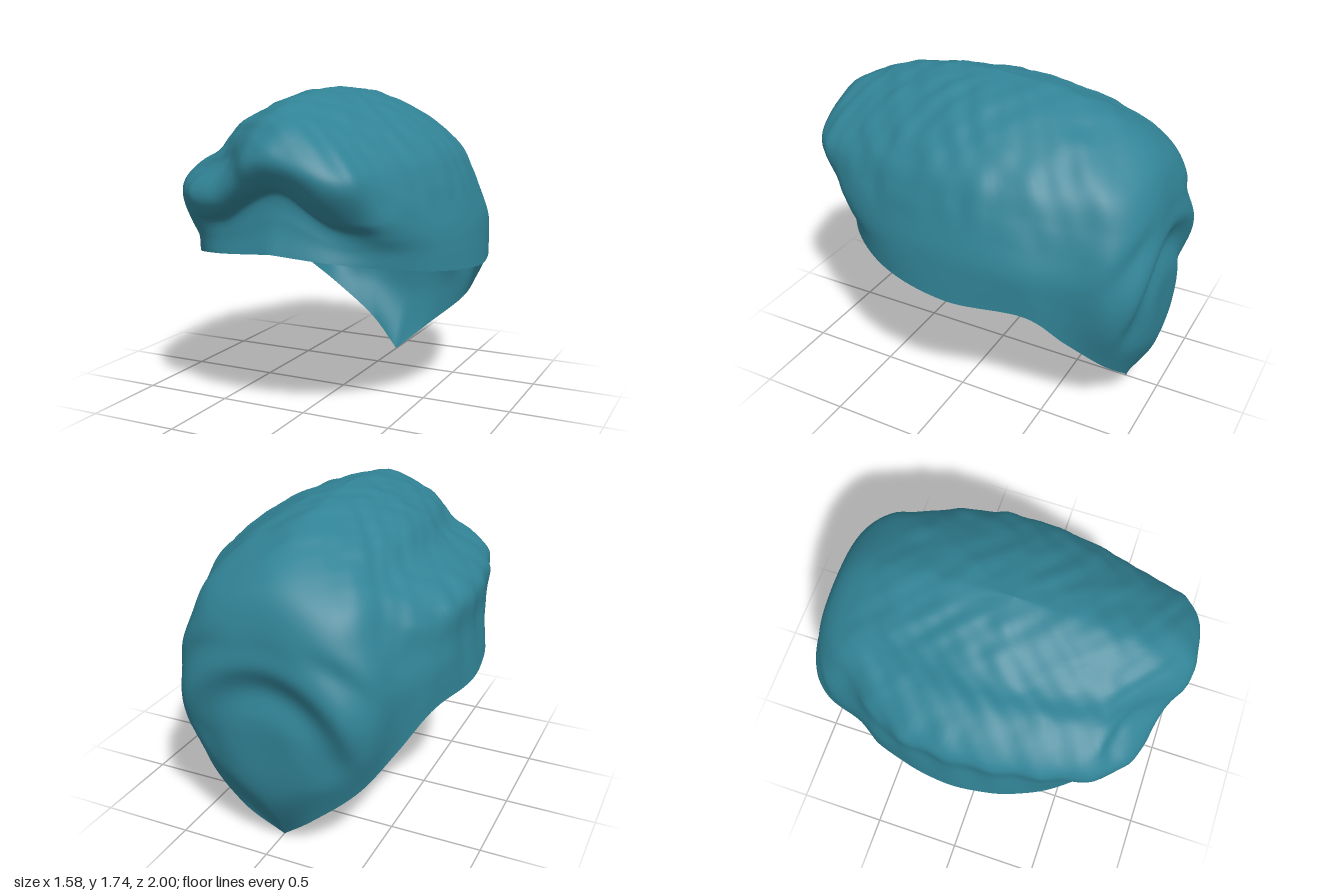
import * as THREE from 'three';

// Strand lines from rim to shoulder, front centre to back centre, one half only.
const STRANDS = [
  [[0, .93, .83], [0, 1.08, .78], [0, 1.23, .77], [0, 1.27, .9], [0, 1.4, .99]],
  [[.3, .9, .77], [.31, .98, .74], [.31, 1.07, .74], [.34, 1.11, .83], [.35, 1.27, .92]],
  [[.52, .87, .64], [.53, .98, .65], [.55, 1.08, .7], [.53, 1.22, .71]],
  [[.72, .82, .33], [.7, 1.02, .34], [.63, 1.25, .34]],
  [[.79, .78, -.08], [.75, 1.03, -.07], [.665, 1.28, -.05]],
  [[.7, .755, -.5], [.71, 1, -.46], [.62, 1.25, -.43]],
  [[.585, .58, -.66], [.6, .95, -.69], [.53, 1.22, -.68]],
  [[.45, .4, -.82], [.53, .75, -.88], [.53, 1, -.88], [.46, 1.2, -.86]],
  [[.2, .18, -.87], [.35, .6, -.97], [.39, .9, -.985], [.33, 1.18, -.96]],
  [[0, 0, -.8], [0, .25, -.95], [0, .55, -.99], [0, .8, -.985], [0, 1.05, -.98], [0, 1.25, -.97]],
];
const CROWN = new THREE.Vector3(0, 1.735, .04);

const bell = (x, centre, width) => Math.exp(-(((x - centre) / width) ** 2));
const ramp = THREE.MathUtils.smoothstep;

// Completes a strand: even steps up to the shoulder, then an arc to the crown, flatter at the sides.
function strandCurve(points) {
  const lower = new THREE.CatmullRomCurve3(points.map(c => new THREE.Vector3(...c)));
  const knots = [0, .25, .5, .75, 1].map(t => lower.getPoint(t));
  const shoulder = knots[4];
  const power = 1 + .5 * shoulder.x;
  for (let k = 1; k <= 4; k++) {
    const angle = k * Math.PI / 8;
    const p = CROWN.clone().lerp(shoulder, Math.max(0, Math.cos(angle)) ** power);
    p.y = THREE.MathUtils.lerp(shoulder.y, CROWN.y, Math.sin(angle) ** power);
    knots.push(p);
  }
  return new THREE.CatmullRomCurve3(knots);
}

// Uneven styling: side lobe under a parting groove, sideways quiff and soft waves.
function style(p, v) {
  const { x, y, z } = p;
  const side = ramp(-x, .25, .5) * ramp(z, -.75, -.3);
  const lobe = .06 * bell(y, 1.22, .12) - .045 * bell(y, 1.46, .09);
  const waves = .008 * Math.sin(z * 26 + y * 3) * bell(y, 1.15, .25);
  const push = side * (lobe + waves);
  p.x -= push;
  p.y += push * .4;
  // Quiff leans to one side and recedes on the other.
  const quiff = ramp(z, .6, .95) * ramp(y, 1.12, 1.35);
  p.x += .08 * quiff;
  p.z -= .13 * quiff * ramp(-x, .1, .4);
  // Arched ridge around the hollow top of the nape panel.
  const d = Math.hypot(x / .5, (y - .6) / .47);
  const nape = ramp(-z, .72, .88) * ramp(y, .4, .65);
  p.z += nape * (.04 * bell(d, .68, .2) - .018 * bell(d, 1, .15) + .025 * bell(d, 1.28, .12) * ramp(Math.abs(x), .15, .4));
  // Fine lumps fade out at the smooth forehead, neck and crown.
  const lumps = ramp(v, .35, .5) * (1 - ramp(v, .9, 1)) * ramp(z, -.9, -.5);
  const n = Math.sin(x * 19 + Math.sin(z * 11)) * Math.sin(z * 23 - y * 8 + Math.sin(x * 13)) + .5 * Math.sin(x * 37 + y * 19) * Math.sin(z * 41);
  p.addScaledVector(new THREE.Vector3(x, y - .9, z).normalize(), .006 * lumps * n);
}

function buildShell(around, rows) {
  const lines = STRANDS.map(strandCurve);
  const positions = [], index = [];
  for (let j = 0; j <= rows; j++) {
    const v = j / rows;
    const half = lines.map(l => l.getPoint(v));
    const mirrored = half.slice(1, -1).reverse().map(p => new THREE.Vector3(-p.x, p.y, p.z));
    const ring = new THREE.CatmullRomCurve3([...half, ...mirrored], true);
    const open = new THREE.CatmullRomCurve3(half);
    const sharp = Math.max(0, 1 - v * 7); // keeps the nape pointed at the rim
    for (let i = 0; i < around; i++) {
      const u = i / around;
      const p = ring.getPoint(u);
      const q = open.getPoint(u <= .5 ? u * 2 : 2 - u * 2);
      if (u > .5) q.x *= -1;
      p.lerp(q, sharp);
      style(p, v);
      positions.push(p.x, p.y, p.z);
      if (j < rows) {
        const a = j * around + i, b = j * around + (i + 1) % around;
        index.push(a, b, a + around);
        if (j < rows - 1) index.push(b, b + around, a + around);
      }
    }
  }
  const geometry = new THREE.BufferGeometry();
  geometry.setAttribute('position', new THREE.Float32BufferAttribute(positions, 3));
  geometry.setIndex(index);
  geometry.computeVertexNormals();
  return geometry;
}

export function createModel() {
  const group = new THREE.Group();
  group.name = 'hairpiece';
  const teal = new THREE.MeshStandardMaterial({ color: 0x318396, side: THREE.DoubleSide });
  teal.name = 'teal hair';
  const hair = new THREE.Mesh(buildShell(180, 90), teal);
  hair.name = 'hairShell';
  group.add(hair);
  return group;
}
